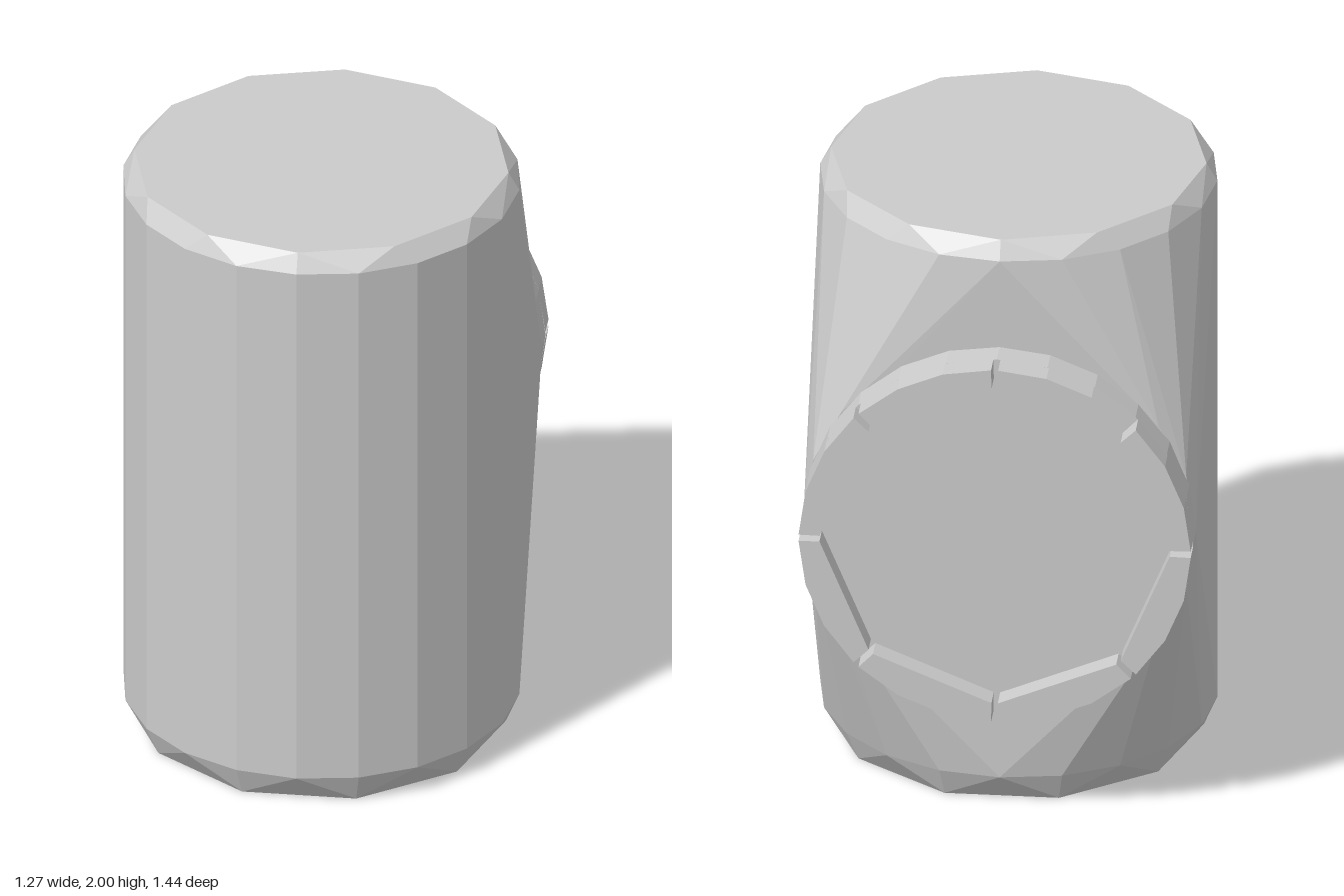
import * as THREE from 'three';
import { ConvexGeometry } from 'three/addons/geometries/ConvexGeometry.js';

const material = new THREE.MeshStandardMaterial({ color: 0xcccccc, flatShading: true });

// Points of a horizontal ring of the can
function ringPoints(y, radius, count, turn = 0) {
  return Array.from({ length: count }, (_, i) => {
    const a = ((i + turn) / count) * Math.PI * 2;
    return new THREE.Vector3(Math.sin(a) * radius, y, 0.083 + Math.cos(a) * radius);
  });
}

function addMesh(parent, name, geometry) {
  const mesh = new THREE.Mesh(geometry, material);
  mesh.name = name;
  parent.add(mesh);
  return mesh;
}

export function createModel() {
  const model = new THREE.Group();
  const faceY = 1.008, faceR = 0.627, backZ = -0.55;

  // Body: upright chamfered cylinder blended into a round plate at the back
  const points = [
    ...ringPoints(0, 0.592, 10, 0.5),
    ...ringPoints(0.1, 0.635, 20),
    ...ringPoints(1.94, 0.635, 20),
    ...ringPoints(2, 0.6, 12),
  ];
  for (let i = 0; i < 20; i++) {
    const a = (i / 20) * Math.PI * 2;
    points.push(new THREE.Vector3(Math.cos(a) * faceR, faceY + Math.sin(a) * faceR, backZ));
  }
  addMesh(model, 'body', new ConvexGeometry(points));

  // Round flange on the back
  const flange = new THREE.Group();
  flange.name = 'backFlange';
  flange.position.set(0, faceY, backZ);
  flange.rotation.y = Math.PI;
  model.add(flange);

  const disc = new THREE.CylinderGeometry(faceR, faceR, 0.1, 24);
  disc.rotateX(Math.PI / 2);
  addMesh(flange, 'flangeBase', disc).position.z = 0.04;

  // Eight rim segments with narrow slits between them, around an octagonal recess
  const step = Math.PI / 4, gap = 0.018, steps = 3, innerR = 0.56;
  for (let s = 0; s < 8; s++) {
    const start = s * step + gap, end = (s + 1) * step - gap;
    const shape = new THREE.Shape();
    shape.moveTo(innerR * Math.cos(start), innerR * Math.sin(start));
    for (let i = 0; i <= steps; i++) {
      const a = start + ((end - start) * i) / steps;
      shape.lineTo(faceR * Math.cos(a), faceR * Math.sin(a));
    }
    shape.lineTo(innerR * Math.cos(end), innerR * Math.sin(end));
    shape.closePath();
    const rim = new THREE.ExtrudeGeometry(shape, { depth: 0.08, bevelEnabled: false });
    addMesh(flange, 'rimSegment' + (s + 1), rim).position.z = 0.088;
  }

  return model;
}
